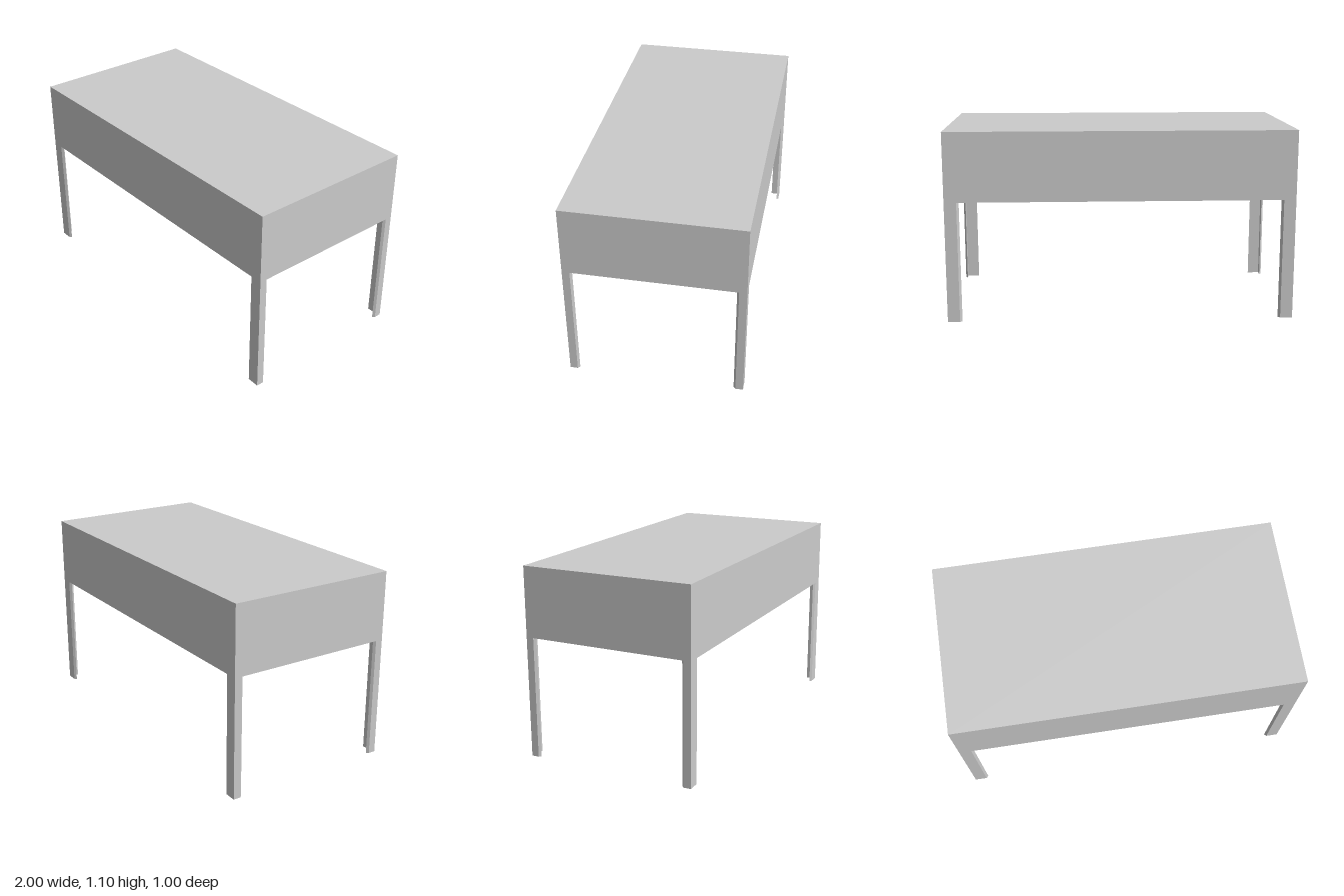
import * as THREE from 'three';

const W = 1, D = 0.5;          // half width and half depth
const H = 1.1, SKIRT = 0.7;    // top height and lower edge of the skirt
const T = 0.012;               // sheet thickness

const material = new THREE.MeshStandardMaterial({ color: 0xcccccc, flatShading: true });

// Rectangle outline inset from the outer footprint
function rect(path, inset) {
  const x = W - inset, z = D - inset;
  path.moveTo(-x, -z);
  path.lineTo(x, -z);
  path.lineTo(x, z);
  path.lineTo(-x, z);
  path.closePath();
  return path;
}

// Extrude a plan outline upwards between two heights
function rise(name, shape, y0, y1) {
  const geometry = new THREE.ExtrudeGeometry(shape, { depth: y1 - y0, bevelEnabled: false });
  geometry.rotateX(-Math.PI / 2);
  geometry.translate(0, y0, 0);
  const mesh = new THREE.Mesh(geometry, material);
  mesh.name = name;
  return mesh;
}

// Hollow rectangular band
function band(name, outer, inner, y0, y1) {
  const shape = rect(new THREE.Shape(), outer);
  shape.holes.push(rect(new THREE.Path(), inner));
  return rise(name, shape, y0, y1);
}

export function createModel() {
  const table = new THREE.Group();
  table.name = 'table';

  // Closed top with a thin skirt and a thicker frame under the top
  table.add(rise('top', rect(new THREE.Shape(), 0), H - 0.023, H));
  table.add(band('skirt', 0, T, SKIRT, H - 0.023));
  table.add(band('innerFrame', T, 0.062, 0.932, H - 0.023));

  // Angle-section legs with slanted sheet edges
  const section = [
    [W, D], [0.93, D], [0.917, D - T], [W - T, D - T], [W - T, 0.445], [W, 0.457],
  ];
  for (const [sx, sz, name] of [
    [1, 1, 'frontLeftLeg'], [-1, 1, 'frontRightLeg'],
    [1, -1, 'backLeftLeg'], [-1, -1, 'backRightLeg'],
  ]) {
    const points = section.map(([x, z]) => new THREE.Vector2(x * sx, -z * sz));
    table.add(rise(name, new THREE.Shape(points), 0, SKIRT));
  }
  return table;
}
